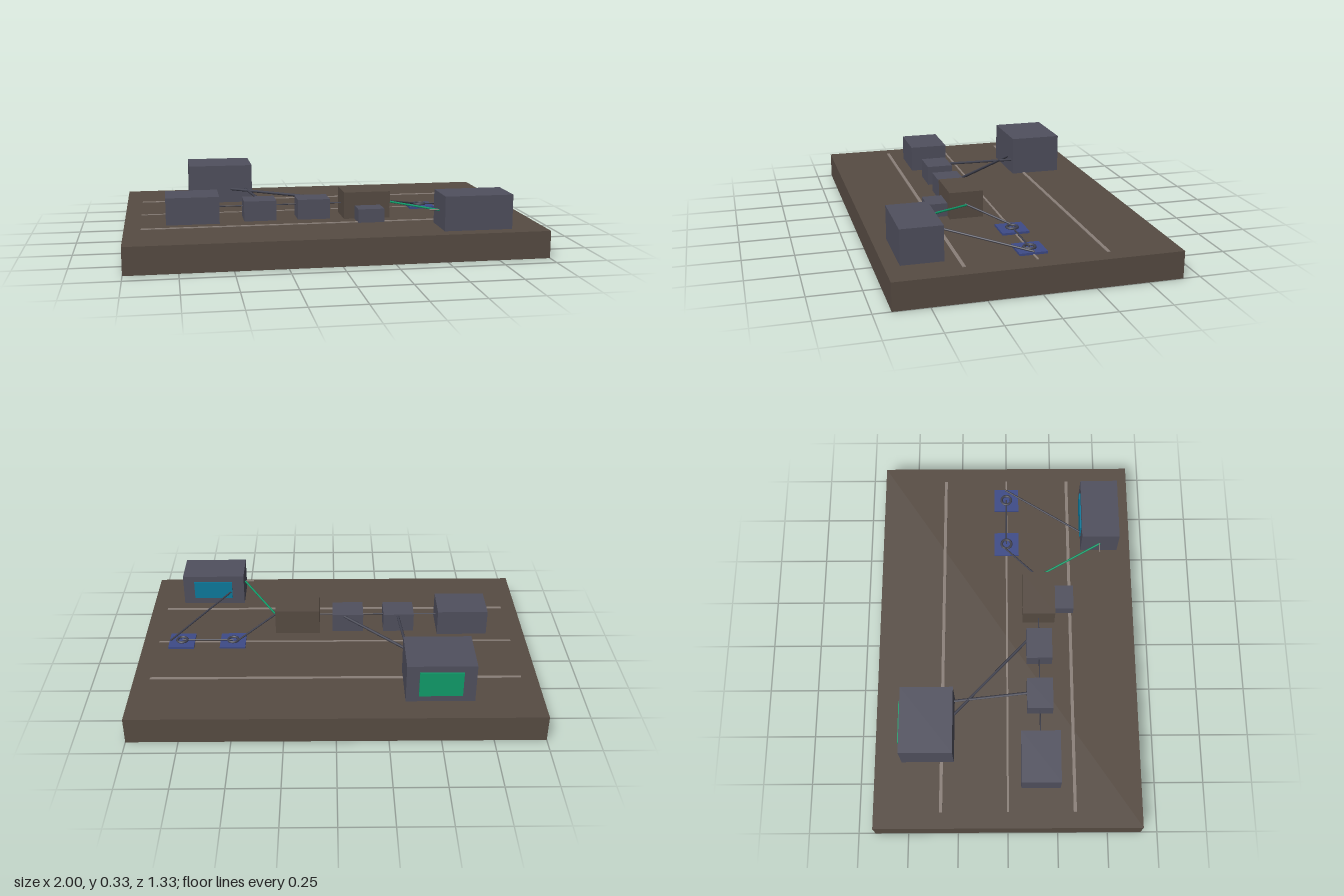
import * as THREE from 'three';

export function createModel() {
  const model = new THREE.Group();
  const mat = (name, color) => {
    const m = new THREE.MeshStandardMaterial({ color });
    m.name = name;
    return m;
  };
  const brown = mat('table brown', 0x574c43);
  const slate = mat('housing slate', 0x50505e);
  const rail = mat('rail grey', 0x8a7f78);
  const blue = mat('mount blue', 0x3e4b88);
  const dark = mat('cable dark', 0x41424f);
  const green = mat('green', 0x109c6a);
  const cyan = mat('cyan', 0x0c7a9c);

  const TOP = 0.133; // height of the table top

  const add = (name, geometry, material) => {
    const mesh = new THREE.Mesh(geometry, material);
    mesh.name = name;
    model.add(mesh);
    return mesh;
  };
  // Box given by its limits on each axis
  const box = (name, material, x0, x1, y0, y1, z0, z1) =>
    add(name, new THREE.BoxGeometry(x1 - x0, y1 - y0, z1 - z0), material)
      .position.set((x0 + x1) / 2, (y0 + y1) / 2, (z0 + z1) / 2);
  // Straight round rod between two points
  const rod = (name, material, radius, a, b) => {
    const from = new THREE.Vector3(...a), to = new THREE.Vector3(...b);
    const dir = to.clone().sub(from);
    const mesh = add(name, new THREE.CylinderGeometry(radius, radius, dir.length(), 8), material);
    mesh.position.copy(from).add(to).multiplyScalar(0.5);
    mesh.quaternion.setFromUnitVectors(new THREE.Vector3(0, 1, 0), dir.normalize());
  };

  // Table slab and its three long rails
  box('table', brown, -1, 1, 0, TOP, -0.667, 0.667);
  for (const [z, w] of [[-0.333, 0.008], [0, 0.005], [0.333, 0.008]])
    box('rail', rail, -0.92, 0.92, TOP - 0.004, TOP + 0.003, z - w, z + w);

  // Housings standing on the table
  box('rearHousing', slate, -0.667, -0.333, TOP, 0.333, -0.533, -0.27);
  box('sourceHousing', slate, -0.8, -0.54, TOP, 0.267, 0.067, 0.263);
  box('firstStage', slate, -0.417, -0.257, TOP, 0.233, 0.1, 0.232);
  box('secondStage', slate, -0.15, 0.012, TOP, 0.233, 0.1, 0.232);
  box('splitterHousing', brown, 0.08, 0.313, TOP, 0.267, 0.082, 0.25);
  box('splitterModule', slate, 0.133, 0.263, TOP, 0.2, 0.25, 0.35);
  box('frontHousing', slate, 0.5, 0.832, TOP, 0.3, 0.4, 0.597);

  // Screens
  box('rearScreen', green, -0.605, -0.395, 0.168, 0.3, -0.541, -0.533);
  box('frontScreen', cyan, 0.565, 0.772, 0.168, 0.268, 0.393, 0.4);

  // Blue mounts with a ring on each
  for (const x of [0.532, 0.798]) {
    box('mountPlate', blue, x - 0.066, x + 0.066, TOP, 0.144, -0.066, 0.066);
    const ring = add('mountRing', new THREE.TorusGeometry(0.026, 0.007, 8, 24), dark);
    ring.rotation.x = Math.PI / 2;
    ring.position.set(x, 0.147, 0);
  }

  // Thin shaft linking the row of housings
  for (const [a, b] of [[-0.54, -0.417], [-0.257, -0.15], [0.012, 0.08]])
    rod('shaft', dark, 0.003, [a, 0.2, 0.165], [b, 0.2, 0.165]);

  // Cables from the rear housing to the two stages
  rod('stageCable', dark, 0.007, [-0.45, 0.204, -0.28], [-0.05, 0.221, 0.105]);
  rod('stageCable', dark, 0.007, [-0.37, 0.204, -0.28], [-0.333, 0.221, 0.105]);

  // Cables through the mounts to the front housing
  rod('mountCable', dark, 0.005, [0.31, 0.203, 0.17], [0.51, 0.147, -0.012]);
  rod('mountCable', dark, 0.004, [0.532, 0.147, 0], [0.798, 0.147, 0]);
  rod('mountCable', dark, 0.005, [0.86, 0.146, -0.005], [0.568, 0.206, 0.405]);

  // Green lead and its plug
  rod('greenLead', green, 0.005, [0.313, 0.2, 0.16], [0.5, 0.216, 0.5]);
  rod('plug', rail, 0.003, [0.45, 0.218, 0.497], [0.505, 0.218, 0.497]);

  return model;
}
